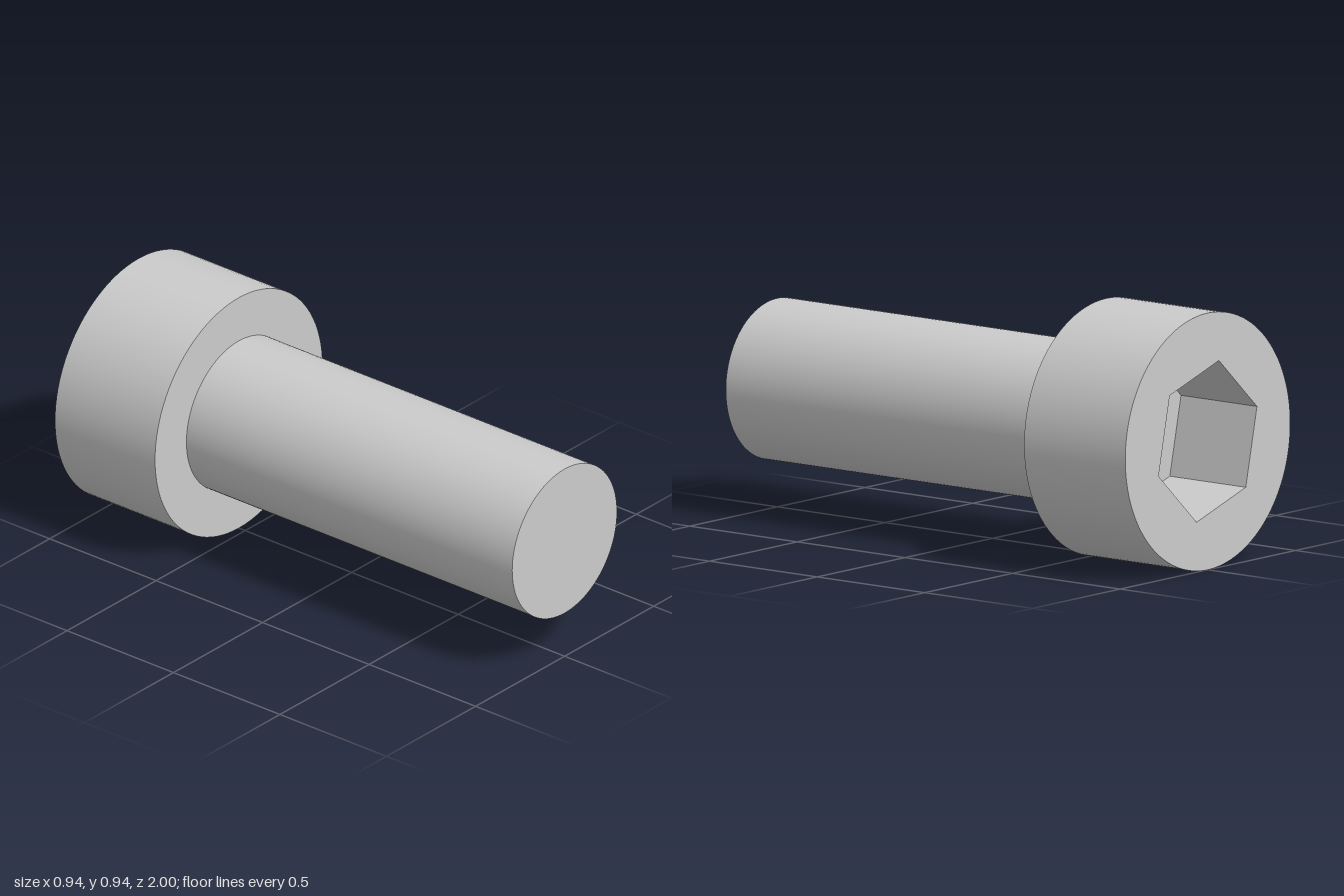
import * as THREE from 'three';
import { toCreasedNormals } from 'three/addons/utils/BufferGeometryUtils.js';

const HEAD_R = 0.47, SHANK_R = 0.294, HEAD_FRONT = -0.53;
const HEX_R = 0.294, HEX_DEPTH = 0.353, HEX_TURN = THREE.MathUtils.degToRad(17.5);
const SEGMENTS = 96;

export function createModel() {
  const model = new THREE.Group();
  model.name = 'socketHeadBolt';
  const smooth = new THREE.MeshStandardMaterial({ color: 0xcccccc });
  const flat = new THREE.MeshStandardMaterial({ color: 0xcccccc, flatShading: true });

  const add = (parent, name, geometry, material) => {
    const mesh = new THREE.Mesh(geometry, material);
    mesh.name = name;
    parent.add(mesh);
  };

  // Turned parts: profile of [radius, z] pairs, spun around the z axis
  const turned = (profile) => toCreasedNormals(
    new THREE.LatheGeometry(profile.map(([r, z]) => new THREE.Vector2(r, z)), SEGMENTS)
      .rotateX(Math.PI / 2), 0.6);

  // Bolt body, all on one axis at head-radius height
  const body = new THREE.Group();
  body.name = 'body';
  body.position.y = HEAD_R;
  model.add(body);
  add(body, 'head', turned([[HEAD_R, -1], [HEAD_R, HEAD_FRONT], [SHANK_R, HEAD_FRONT]]), smooth);
  add(body, 'shank', turned([[SHANK_R, HEAD_FRONT], [SHANK_R, 1], [0, 1]]), smooth);

  // Back of the head, turned to face -z
  const drive = new THREE.Group();
  drive.name = 'hexDrive';
  drive.position.z = -1;
  drive.rotation.y = Math.PI;
  body.add(drive);

  // End face with a hexagonal opening
  const hexagon = Array.from({ length: 6 }, (_, i) => {
    const a = HEX_TURN + i * Math.PI / 3;
    return new THREE.Vector2(HEX_R * Math.cos(a), HEX_R * Math.sin(a));
  });
  const face = new THREE.Shape().absarc(0, 0, HEAD_R, 0, Math.PI * 2, false);
  face.holes.push(new THREE.Path(hexagon));
  add(drive, 'headEndFace', new THREE.ShapeGeometry(face, SEGMENTS), flat);

  // Socket walls face inward, closed by a flat floor
  const walls = new THREE.LatheGeometry(
    [new THREE.Vector2(HEX_R, 0), new THREE.Vector2(HEX_R, -HEX_DEPTH)],
    6, HEX_TURN + Math.PI / 2).rotateX(Math.PI / 2);
  add(drive, 'socketWalls', walls, flat);
  const floor = new THREE.ShapeGeometry(new THREE.Shape(hexagon)).translate(0, 0, -HEX_DEPTH);
  add(drive, 'socketFloor', floor, flat);

  return model;
}
